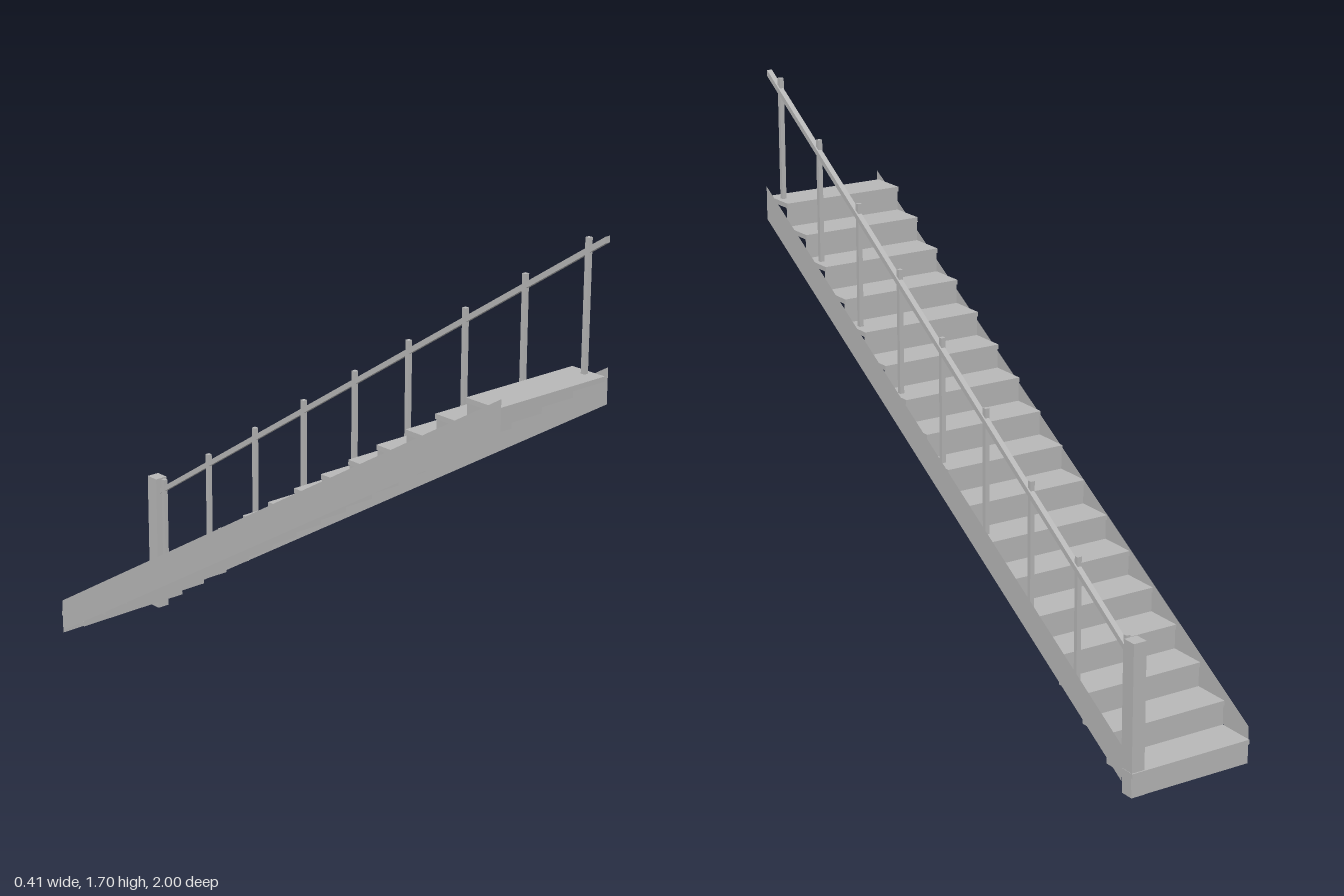
import * as THREE from 'three';

const STEPS = 17, RISE = 0.0763, RUN = 0.1167;
const HALF = 0.204;        // half width of the flight
const THICK = 0.015;       // tread thickness
const DEPTH = 0.122;       // tread depth, slightly more than the run
const treadTop = k => 0.075 + RISE * k;
const nosing = k => -1 + RUN * k;

export function createModel() {
  const group = new THREE.Group();
  const grey = new THREE.MeshStandardMaterial({ color: 0xb8b8b8 });
  grey.name = 'grey';
  const greySheet = new THREE.MeshStandardMaterial({ color: 0xb8b8b8, side: THREE.DoubleSide });
  greySheet.name = 'grey sheet';

  const add = (name, geometry, material, x, y, z) => {
    const mesh = new THREE.Mesh(geometry, material);
    mesh.name = name;
    mesh.position.set(x, y, z);
    group.add(mesh);
    return mesh;
  };
  // box given by its limits on each axis
  const box = (name, x0, x1, y0, y1, z0, z1) =>
    add(name, new THREE.BoxGeometry(x1 - x0, y1 - y0, z1 - z0), grey,
      (x0 + x1) / 2, (y0 + y1) / 2, (z0 + z1) / 2);

  // treads with thin riser sheets just behind each nosing
  for (let k = 0; k < STEPS; k++) {
    const top = treadTop(k), z = nosing(k);
    box('tread', -HALF, HALF, top - THICK, top, z, z + DEPTH);
    const low = k ? treadTop(k - 1) : 0, high = top - THICK;
    add('riser', new THREE.PlaneGeometry(2 * HALF, high - low), greySheet,
      0, (low + high) / 2, z + DEPTH - RUN);
  }

  // sloping side stringers, flat sheets
  const stringer = (name, x, zEnd) => {
    const at = (z, y) => y - 0.607 * (1 - z);
    const shape = new THREE.Shape([
      new THREE.Vector2(-1, 1.218), new THREE.Vector2(-1, 1.325),
      new THREE.Vector2(-zEnd, at(zEnd, 1.325)), new THREE.Vector2(-zEnd, at(zEnd, 1.218)),
    ]);
    add(name, new THREE.ShapeGeometry(shape), greySheet, x, 0, 0).rotation.y = Math.PI / 2;
  };
  stringer('leftStringer', HALF, -0.951);
  stringer('rightStringer', -HALF, -0.995);

  // newel post at the foot
  box('newelPost', 0.16, HALF - 0.001, 0, 0.46, -0.996, -0.951);

  // balusters on every second tread
  for (let k = 0; k < STEPS; k += 2) {
    const z = nosing(k) + 0.068;
    box('baluster', 0.173, 0.187, treadTop(k), treadTop(k) + 0.386, z - 0.007, z + 0.007);
  }

  // handrail: bar with plumb-cut ends, sheared to the pitch of the stairs
  const rail = new THREE.BoxGeometry(0.017, 0.019, 1.95);
  const p = rail.attributes.position;
  for (let i = 0; i < p.count; i++) p.setY(i, p.getY(i) + 0.652 * p.getZ(i));
  rail.computeVertexNormals();
  add('handrail', rail, grey, 0.1835, 1.052, 0.025);

  return group;
}
